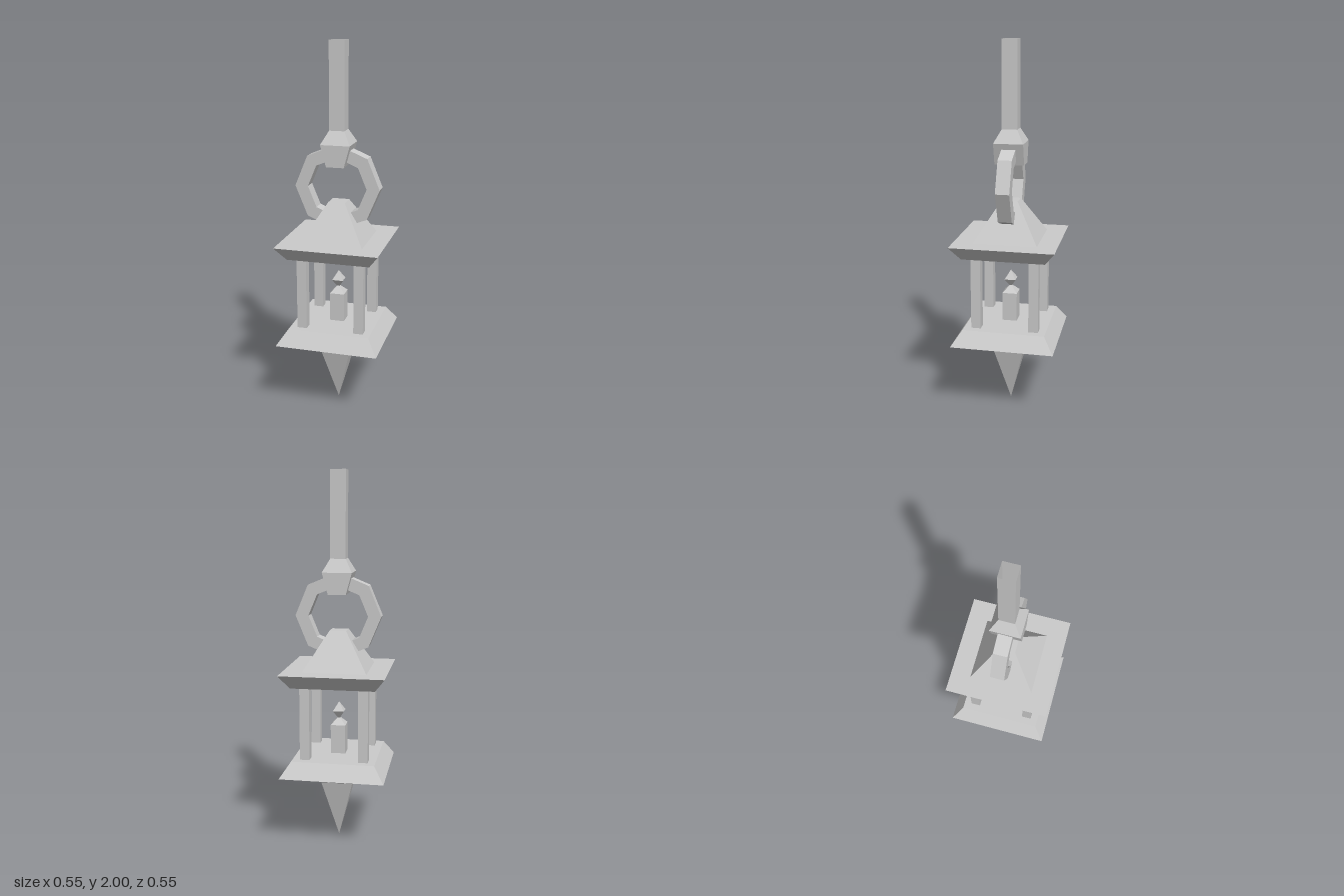
import * as THREE from 'three';

const material = new THREE.MeshStandardMaterial({ color: 0xcccccc, flatShading: true });
const openMaterial = new THREE.MeshStandardMaterial({ color: 0xcccccc, flatShading: true, side: THREE.DoubleSide });

// Square-section solid from [half width, height] pairs, bottom to top
function squareLathe(profile) {
  const points = profile.map(([half, y]) => new THREE.Vector2(half * Math.SQRT2, y));
  return new THREE.LatheGeometry(points, 4, Math.PI / 4);
}

// Regular octagon outline with corners on the axes
function octagon(PathType, radius) {
  const path = new PathType();
  for (let i = 0; i < 8; i++) {
    const a = (i * Math.PI) / 4;
    path[i ? 'lineTo' : 'moveTo'](radius * Math.cos(a), radius * Math.sin(a));
  }
  path.closePath();
  return path;
}

export function createModel() {
  const group = new THREE.Group();
  const add = (name, geometry, mat = material) => {
    const flat = geometry.index ? geometry.toNonIndexed() : geometry;
    flat.computeVertexNormals();
    const mesh = new THREE.Mesh(flat, mat);
    mesh.name = name;
    group.add(mesh);
    return mesh;
  };

  // Pointed finial under the base
  add('finial', squareLathe([[0, 0], [0.085, 0.33], [0.143, 0.405], [0, 0.405]]));

  // Base and roof slabs with slanted rims, and the roof cap
  add('base', squareLathe([[0, 0.405], [0.277, 0.405], [0.222, 0.487], [0, 0.487]]));
  add('roof', squareLathe([[0, 0.885], [0.222, 0.885], [0.277, 0.96], [0, 0.96]]));
  add('roofCap', squareLathe([[0, 0.96], [0.17, 0.96], [0.045, 1.165], [0, 1.165]]));

  // Four corner posts
  for (const x of [-1, 1]) {
    for (const z of [-1, 1]) {
      const post = add('post', new THREE.BoxGeometry(0.052, 0.398, 0.052));
      post.position.set(x * 0.156, 0.686, z * 0.156);
    }
  }

  // Candle and its flame
  add('candle', squareLathe([[0, 0.487], [0.04, 0.487], [0.04, 0.645], [0, 0.688]]));
  add('flame', squareLathe([[0, 0.67], [0.03, 0.72], [0, 0.77]]));

  // Octagonal hanging ring
  const ringShape = octagon(THREE.Shape, 0.23);
  ringShape.holes.push(octagon(THREE.Path, 0.16));
  const ringGeometry = new THREE.ExtrudeGeometry(ringShape, { depth: 0.074, bevelEnabled: false });
  ringGeometry.translate(0, 0, -0.037);
  add('ring', ringGeometry).position.y = 1.243;

  // Hollow rod with a flared hook block, narrowed in x at its bottom
  const hanger = squareLathe([[0, 1.36], [0.079, 1.36], [0.079, 1.475], [0.041, 1.545], [0.041, 2]]);
  const pos = hanger.attributes.position;
  for (let i = 0; i < pos.count; i++) {
    if (pos.getY(i) < 1.4) pos.setX(i, pos.getX(i) * 0.6);
  }
  add('hangerRod', hanger, openMaterial);

  return group;
}
